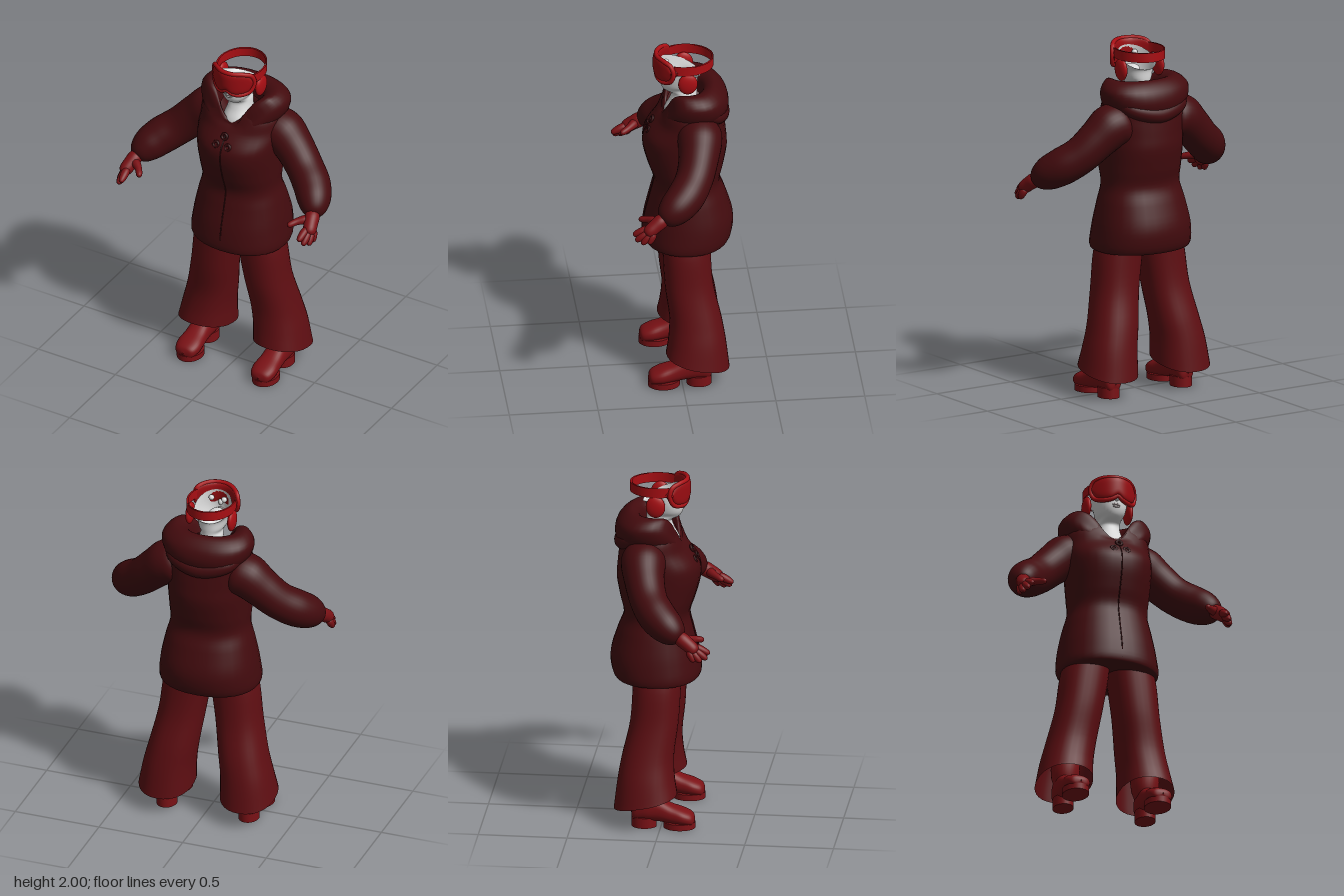
import * as THREE from 'three';

const mat = (name, color) =>
  new THREE.MeshStandardMaterial({ name, color, side: THREE.DoubleSide });
const N = 32;
const V = (x, y, z) => new THREE.Vector3(x, y, z);
const spow = (v, p) => Math.sign(v) * Math.abs(v) ** p;
const angles = Array.from({ length: N }, (_, i) => (i / N) * Math.PI * 2);

// Smooth skin over closed cross-sections, interpolated along each column
function loft(rings, sub = 5) {
  const rows = (rings.length - 1) * sub;
  const cols = angles.map((_, i) => new THREE.CatmullRomCurve3(rings.map((r) => r[i])));
  const pos = [], idx = [];
  for (let j = 0; j <= rows; j++) for (const c of cols) pos.push(...c.getPoint(j / rows).toArray());
  for (let j = 0; j < rows; j++) {
    for (let i = 0; i < N; i++) {
      const a = j * N + i, b = j * N + ((i + 1) % N);
      idx.push(a, b, b + N, a, b + N, a + N);
    }
  }
  const g = new THREE.BufferGeometry();
  g.setAttribute('position', new THREE.Float32BufferAttribute(pos, 3));
  g.setIndex(idx);
  g.computeVertexNormals();
  return g;
}

// Horizontal cross-section; lift(cos) raises or lowers the rim from front to back
const hoop = (y, cx, hx, zf, zb, lift = () => 0, p = 0.9) => angles.map((a) => {
  const c = Math.cos(a);
  return V(cx + hx * spow(Math.sin(a), p), y + lift(c),
    (zf + zb) / 2 + ((zf - zb) / 2) * spow(c, p));
});
const dip = (d) => (c) => -d * Math.max(0, c) ** 4;

// Round-ended limb through [x, y, z, radius] points, mirrored by s
function limb(list, s = 1, sub = 4) {
  const p = list.map((q) => V(q[0] * s, q[1], q[2]));
  const n = p.length - 1;
  const dir = p[n].clone().sub(p[0]).normalize();
  const ref = Math.abs(dir.z) > 0.75 ? V(0, 1, 0) : V(0, 0, 1);
  const ring = (c, t, r) => {
    const u = t.clone().cross(ref).normalize(), v = t.clone().cross(u);
    return angles.map((a) => c.clone().addScaledVector(u, r * Math.cos(a)).addScaledVector(v, r * Math.sin(a)));
  };
  const rings = [];
  p.forEach((c, i) => {
    const t = p[Math.min(i + 1, n)].clone().sub(p[Math.max(i - 1, 0)]).normalize();
    const r = list[i][3];
    if (i === 0) rings.push(ring(c.clone().addScaledVector(t, -r * 0.6), t, 0.001));
    rings.push(ring(c, t, r));
    if (i === n) rings.push(ring(c.clone().addScaledVector(t, r * 0.6), t, 0.001));
  });
  return loft(rings, sub);
}

export function createModel() {
  const model = new THREE.Group();
  const jacket = mat('darkJacketRed', 0x430b0e);
  const trim = mat('jacketTrim', 0x300709);
  const trousers = mat('trouserRed', 0x5e0e12);
  const leather = mat('gloveAndBootRed', 0x7a1115);
  const frameRed = mat('goggleRed', 0xa80e13);
  const lensRed = mat('lensRed', 0x980c11);
  const skin = mat('paleSkin', 0xdcdcdc);
  const lip = mat('lipGrey', 0xb0a6a6);
  const add = (name, geo, m, parent = model) => {
    const mesh = new THREE.Mesh(geo, m);
    mesh.name = name;
    parent.add(mesh);
    return mesh;
  };
  const ball = (name, m, x, y, z, sx, sy, sz) => {
    const b = add(name, new THREE.SphereGeometry(1, 24, 16), m);
    b.position.set(x, y, z);
    b.scale.set(sx, sy, sz);
  };

  // Long jacket with closed underside and V neck
  add('jacketBody', loft([
    hoop(0.85, 0, 0.01, -0.04, -0.06), hoop(0.825, 0, 0.26, 0.17, -0.25),
    hoop(0.835, 0, 0.284, 0.195, -0.285), hoop(0.95, 0, 0.28, 0.19, -0.31),
    hoop(1.1, 0, 0.252, 0.155, -0.27), hoop(1.2, 0, 0.228, 0.135, -0.235),
    hoop(1.3, 0, 0.232, 0.165, -0.255), hoop(1.42, 0, 0.24, 0.195, -0.275),
    hoop(1.5, 0, 0.245, 0.19, -0.27), hoop(1.59, 0, 0.25, 0.125, -0.26),
    hoop(1.68, 0, 0.235, 0.105, -0.25, dip(0.07)), hoop(1.75, 0, 0.13, 0.09, -0.14, dip(0.13)),
  ]), jacket);

  // Hood lying open round the neck, with folds behind
  add('hoodRoll', loft([
    hoop(1.60, 0, 0.2, 0.1, -0.26), hoop(1.69, 0, 0.255, 0.1, -0.285, dip(0.08)),
    hoop(1.76, 0, 0.262, 0.085, -0.265, dip(0.14)), hoop(1.81, 0, 0.205, 0.08, -0.2, dip(0.18)),
    hoop(1.785, 0, 0.14, 0.075, -0.15, dip(0.155)), hoop(1.7, 0, 0.11, 0.065, -0.13, dip(0.06)),
  ]), jacket);
  add('hoodLowerFold', limb([
    [-0.21, 1.72, -0.1, 0.03], [-0.16, 1.66, -0.2, 0.045], [0, 1.62, -0.24, 0.05],
    [0.16, 1.66, -0.2, 0.045], [0.21, 1.72, -0.1, 0.03]], 1, 6), jacket);
  add('hoodUpperFold', limb([
    [-0.2, 1.77, -0.07, 0.03], [-0.14, 1.74, -0.18, 0.035], [0, 1.72, -0.235, 0.035],
    [0.14, 1.74, -0.18, 0.035], [0.2, 1.77, -0.07, 0.03]], 1, 6), jacket);

  // Front seam and knotted fasteners
  const seam = [[0.85, 0.195], [0.95, 0.188], [1.1, 0.153], [1.2, 0.133], [1.3, 0.163], [1.42, 0.193], [1.5, 0.188], [1.58, 0.133]];
  add('frontSeam', new THREE.TubeGeometry(
    new THREE.CatmullRomCurve3(seam.map(([y, z]) => V(0, y, z))), 50, 0.005, 6), trim);
  for (const [x, y, z] of [[-0.04, 1.525, 0.17], [0.035, 1.525, 0.17], [0, 1.575, 0.145]]) {
    const knot = add('fastenerKnot', new THREE.TorusGeometry(0.016, 0.008, 8, 16), trim);
    knot.position.set(x, y, z);
    knot.rotation.x = -0.4;
  }

  // Head shell, open at the top behind the goggles, with neck and chest
  add('headAndNeck', loft([
    hoop(1.56, 0, 0.1, 0.09, -0.12), hoop(1.64, 0, 0.085, 0.075, -0.115),
    hoop(1.70, 0, 0.068, 0.045, -0.11), hoop(1.745, 0, 0.064, 0.035, -0.11),
    hoop(1.772, 0, 0.06, 0.08, -0.11), hoop(1.80, 0, 0.076, 0.096, -0.112),
    hoop(1.85, 0, 0.092, 0.105, -0.118, () => 0, 1),
    hoop(1.905, 0, 0.105, 0.095, -0.13, (c) => 0.05 * c, 1),
  ]), skin);
  ball('nose', skin, 0, 1.872, 0.108, 0.014, 0.022, 0.018);
  ball('mouthLining', skin, 0, 1.835, 0.035, 0.042, 0.022, 0.055);
  add('upperLip', limb([[-0.022, 1.829, 0.1, 0.004], [0, 1.834, 0.104, 0.006], [0.022, 1.829, 0.1, 0.004]]), lip);
  add('lowerLip', limb([[-0.018, 1.822, 0.098, 0.004], [0, 1.819, 0.102, 0.006], [0.018, 1.822, 0.098, 0.004]]), lip);

  // Wrapped goggles: curved lens body, rim and strap
  const wrapZ = (x) => 0.118 - 5 * x * x;
  const lensRings = [];
  for (let k = -8; k <= 8; k++) {
    const x = k * 0.0163, e = Math.sqrt(1 - (Math.abs(k) / 8.02) ** 5);
    const bottom = 1.925 - 0.068 * e + 0.022 * Math.exp(-((x / 0.028) ** 2));
    const top = 1.925 + 0.064 * e;
    lensRings.push(angles.map((a) => V(x, (top + bottom) / 2 + ((top - bottom) / 2) * spow(Math.cos(a), 0.6),
      wrapZ(x) + 0.022 * spow(Math.sin(a), 0.6))));
  }
  add('goggleLens', loft(lensRings, 2), lensRed);
  const half = [[0.03, 1.988], [0.085, 1.985], [0.12, 1.967], [0.13, 1.92], [0.115, 1.868], [0.07, 1.85], [0.03, 1.858]];
  const rim = [...half, [0, 1.876], ...half.slice().reverse().map(([x, y]) => [-x, y])];
  add('goggleRim', new THREE.TubeGeometry(
    new THREE.CatmullRomCurve3(rim.map(([x, y]) => V(x, y, wrapZ(x) + 0.003)), true), 96, 0.013, 10, true), frameRed);
  for (const r of [1, 0.94]) {
    const strap = add('goggleStrap', new THREE.CylinderGeometry(
      0.137 * r, 0.137 * r, 0.055, 48, 1, true, Math.PI * 0.34, Math.PI * 1.32), frameRed);
    strap.scale.z = 1.18;
    strap.position.set(0, 1.94, -0.04);
  }

  for (const s of [1, -1]) {
    const side = s > 0 ? 'left' : 'right';
    ball(side + 'Eye', skin, s * 0.038, 1.915, 0.06, 0.016, 0.016, 0.016);
    ball(side + 'Earmuff', frameRed, s * 0.125, 1.855, -0.045, 0.022, 0.064, 0.055);

    // Puffed sleeve gathered at the wrist
    add(side + 'Sleeve', limb([
      [0.17, 1.56, -0.1, 0.12], [0.24, 1.55, -0.1, 0.125], [0.315, 1.485, -0.085, 0.113],
      [0.405, 1.4, -0.05, 0.106], [0.49, 1.335, 0.01, 0.106], [0.545, 1.285, 0.08, 0.092],
      [0.572, 1.25, 0.13, 0.058]], s, 6), jacket);

    // Glove with four fingers and a thumb
    const glove = new THREE.Group();
    glove.name = side + 'Glove';
    model.add(glove);
    add('palm', limb([[0.572, 1.25, 0.14, 0.038], [0.588, 1.215, 0.19, 0.04], [0.602, 1.182, 0.232, 0.032]], s), leather, glove);
    for (const [a, b] of [
      [[0.583, 1.2, 0.235], [0.578, 1.165, 0.305]], [[0.597, 1.183, 0.235], [0.6, 1.14, 0.294]],
      [[0.608, 1.175, 0.22], [0.618, 1.128, 0.262]], [[0.612, 1.18, 0.2], [0.624, 1.132, 0.225]],
    ]) add('finger', limb([[...a, 0.02], [...b, 0.014]], s), leather, glove);
    add('thumb', limb([[0.56, 1.23, 0.18, 0.024], [0.515, 1.222, 0.22, 0.02], [0.485, 1.21, 0.262, 0.014]], s), leather, glove);

    // Flared trouser leg with a hem that drops at the heel
    const leg = [[0.28, 0.083, 0.375, 0.075, -0.245], [0.4, 0.068, 0.345, 0.068, -0.225],
      [0.6, 0.038, 0.302, 0.09, -0.182], [0.83, 0.004, 0.27, 0.1, -0.17], [0.95, 0.004, 0.22, 0.1, -0.17]];
    add(side + 'TrouserLeg', loft([
      hoop(0.152, s * 0.243, 0.158, 0.09, -0.265, (c) => 0.042 * c),
      ...leg.map(([y, a, b, zf, zb]) => hoop(y, (s * (a + b)) / 2, (b - a) / 2, zf, zb)),
    ]), trousers);

    // Boot: upper swept heel to toe, shaft, sole and heel block
    const foot = [[-0.168, 0.002, 0.08, 0.09], [-0.155, 0.045, 0.04, 0.15], [-0.1, 0.06, 0.035, 0.2],
      [-0.02, 0.06, 0.035, 0.175], [0.06, 0.066, 0.025, 0.135], [0.13, 0.072, 0.02, 0.11],
      [0.178, 0.052, 0.02, 0.085], [0.192, 0.002, 0.045, 0.055]];
    add(side + 'Boot', loft(foot.map(([z, w, y0, y1]) => angles.map((a) => V(
      s * 0.245 + w * spow(Math.cos(a), 0.85), (y0 + y1) / 2 + ((y1 - y0) / 2) * spow(Math.sin(a), 0.85), z)))), leather);
    add(side + 'BootShaft', limb([[0.24, 0.14, -0.08, 0.065], [0.235, 0.32, -0.08, 0.068]], s), leather);
    const block = (name, w, h, len, z) => {
      const b = add(side + name, new THREE.CylinderGeometry(1, 1, h, 32), leather);
      b.scale.set(w, 1, len);
      b.position.set(s * 0.245, h / 2, z);
    };
    block('BootSole', 0.074, 0.035, 0.09, 0.103);
    block('BootHeel', 0.058, 0.06, 0.07, -0.095);
  }
  return model;
}
